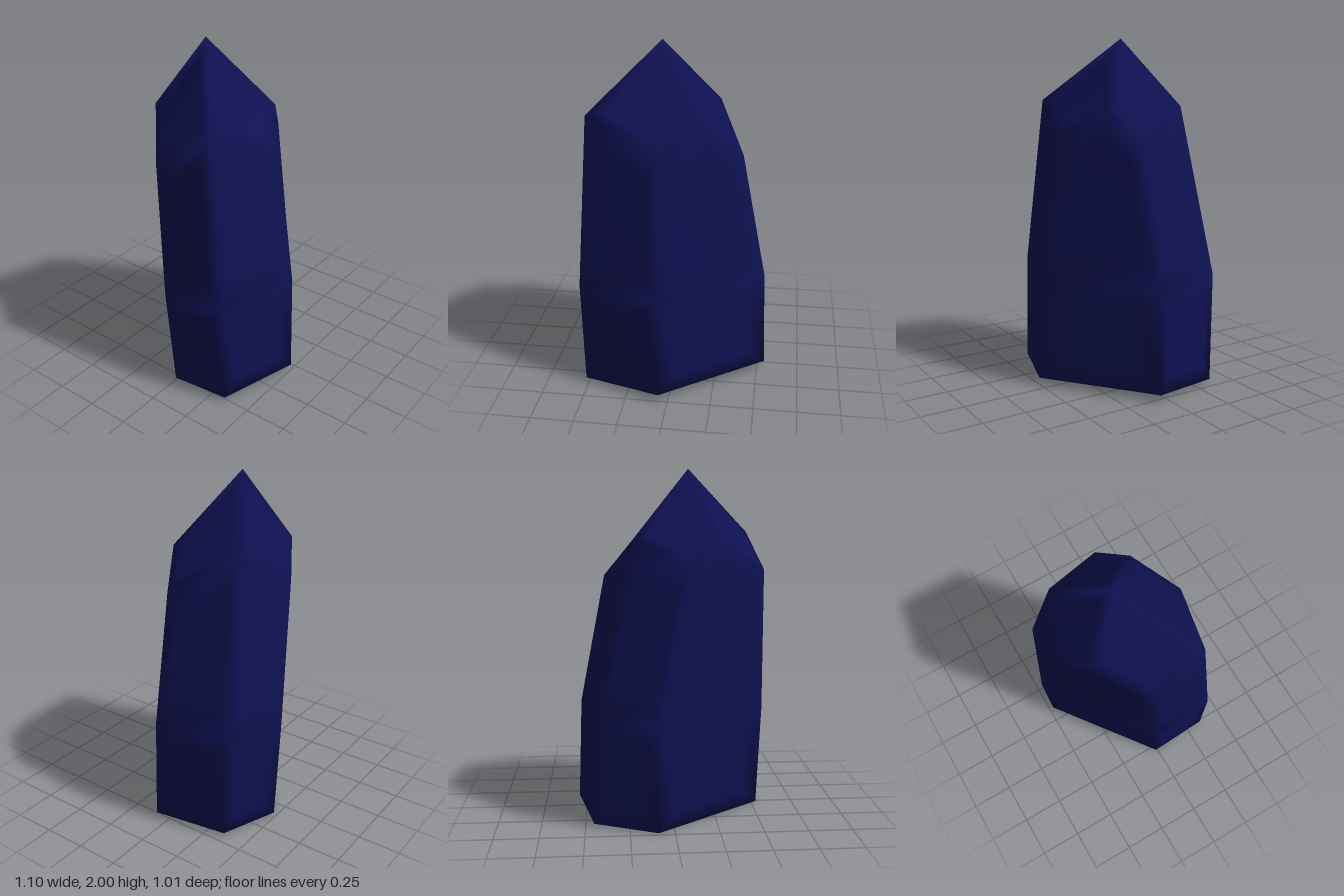
import * as THREE from 'three';

// Corner rings of the six-sided shaft, in the order right, back right, back, left, front left, front
const BASE = [[0.545, 0.045, 0.06], [0.45, 0.02, -0.36], [0.09, 0, -0.475], [-0.53, 0, -0.01], [-0.515, 0.025, 0.35], [-0.055, 0.045, 0.505]];
const MIDDLE = [[0.525, 0.64, 0.06], [0.43, 0.65, -0.385], [0.09, 0.6, -0.505], [-0.55, 0.6, -0.05], [-0.535, 0.64, 0.33], [-0.055, 0.65, 0.49]];
const SHOULDER = [[0.38, 1.39, 0.07], [0.22, 1.615, -0.293], [-0.075, 1.45, -0.437], [-0.545, 1.43, -0.08], [-0.485, 1.635, 0.23], [-0.07, 1.44, 0.355]];
// Peaks of the two broad walls, then the tip
const BACK_PEAK = 18, FRONT_PEAK = 19, TIP = 20;
const PEAKS = [[-0.265, 1.617, -0.32], [0.18, 1.59, 0.18], [-0.1, 2, -0.09]];

// Facets as loops of corner numbers
function crystalFacets() {
  const facets = [[5, 4, 3, 2, 1, 0]];
  for (let i = 0; i < 6; i++) {
    const n = (i + 1) % 6;
    facets.push([i, n, n + 6, i + 6]);
    const wall = [i + 6, n + 6, n + 12];
    if (i === 2) wall.push(BACK_PEAK);
    if (i === 5) wall.push(FRONT_PEAK);
    facets.push([...wall, i + 12]);
  }
  // Four kite-shaped faces meet at the tip
  facets.push(
    [TIP, FRONT_PEAK, 12, 13], [TIP, 13, 14, BACK_PEAK],
    [TIP, BACK_PEAK, 15, 16], [TIP, 16, 17, FRONT_PEAK]);
  return facets;
}

// Each facet gets an inset flat middle, so that shading softens only along its edges
function softFacetGeometry(corners, facets, inset) {
  const points = corners.map((c) => new THREE.Vector3(...c));
  const index = [];
  for (const loop of facets) {
    const centre = new THREE.Vector3();
    loop.forEach((k) => centre.addScaledVector(points[k], 1 / loop.length));
    const c = points.push(centre) - 1;
    const inner = loop.map((k) => points.push(points[k].clone().lerp(centre, inset)) - 1);
    loop.forEach((a, i) => {
      const j = (i + 1) % loop.length;
      const b = loop[j];
      index.push(a, b, inner[j], a, inner[j], inner[i], inner[i], inner[j], c);
    });
  }
  const geometry = new THREE.BufferGeometry().setFromPoints(points);
  geometry.setIndex(index);
  geometry.computeVertexNormals();
  return geometry;
}

export function createModel() {
  const group = new THREE.Group();
  group.name = 'crystal';
  const corners = [...BASE, ...MIDDLE, ...SHOULDER, ...PEAKS];
  const crystal = new THREE.Mesh(
    softFacetGeometry(corners, crystalFacets(), 0.3),
    new THREE.MeshStandardMaterial({ color: 0x0f1152 }));
  crystal.name = 'crystalBody';
  group.add(crystal);
  return group;
}
